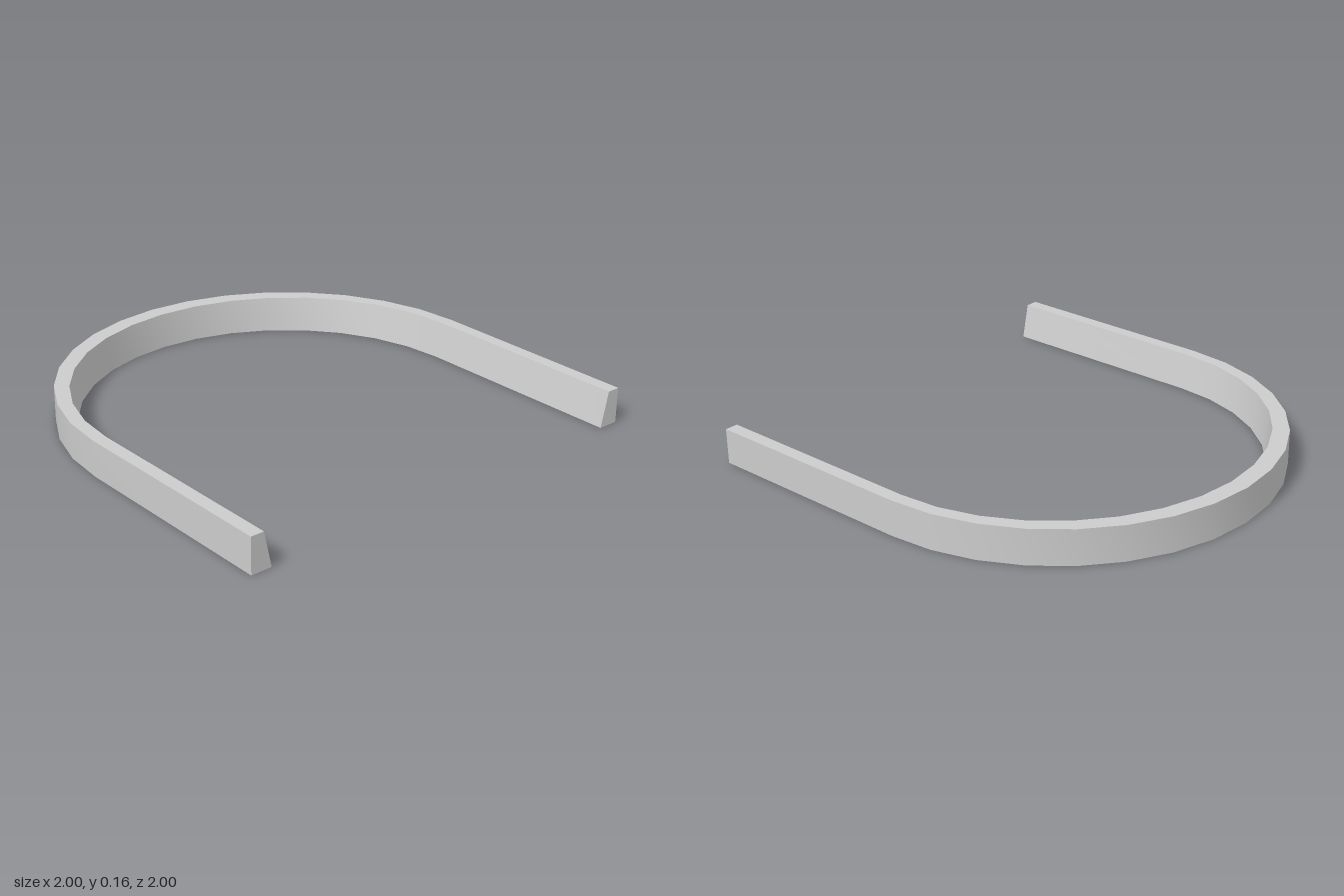
import * as THREE from 'three';
import { toCreasedNormals } from 'three/addons/utils/BufferGeometryUtils.js';

const HEIGHT = 0.16;
const ARC_SEGMENTS = 16;

// Cross-section corners: [radius along x, half-width along z, y]
const PROFILE = [
  [1, 1, 0],              // outer bottom
  [1, 1, HEIGHT],         // outer top
  [0.92, 0.94, HEIGHT],   // inner top
  [0.905, 0.905, 0],      // inner bottom
];

// One cross-section at an angle round the bend, shifted along x for the straight ends
const section = (angle, shift = 0) => PROFILE.map(([rx, rz, y]) =>
  [shift - rx * Math.sin(angle), y, -rz * Math.cos(angle)]);

function createBandGeometry() {
  const sections = [section(0, 1)];
  for (let i = 0; i <= ARC_SEGMENTS; i++) sections.push(section((i / ARC_SEGMENTS) * Math.PI));
  sections.push(section(Math.PI, 1));

  const positions = [];
  const quad = (a, b, c, d) => positions.push(...a, ...b, ...d, ...b, ...c, ...d);

  // Four sides along the path
  for (let i = 0; i < sections.length - 1; i++) {
    const s = sections[i], t = sections[i + 1];
    for (let k = 0; k < 4; k++) {
      const n = (k + 1) % 4;
      quad(s[k], t[k], t[n], s[n]);
    }
  }

  // End caps
  quad(...sections[0]);
  quad(...sections[sections.length - 1].slice().reverse());

  const geometry = new THREE.BufferGeometry();
  geometry.setAttribute('position', new THREE.Float32BufferAttribute(positions, 3));
  return toCreasedNormals(geometry, Math.PI / 6);
}

export function createModel() {
  const group = new THREE.Group();
  group.name = 'uShapedRim';
  const band = new THREE.Mesh(
    createBandGeometry(),
    new THREE.MeshStandardMaterial({ color: 0xcccccc }),
  );
  band.name = 'curvedBand';
  group.add(band);
  return group;
}
